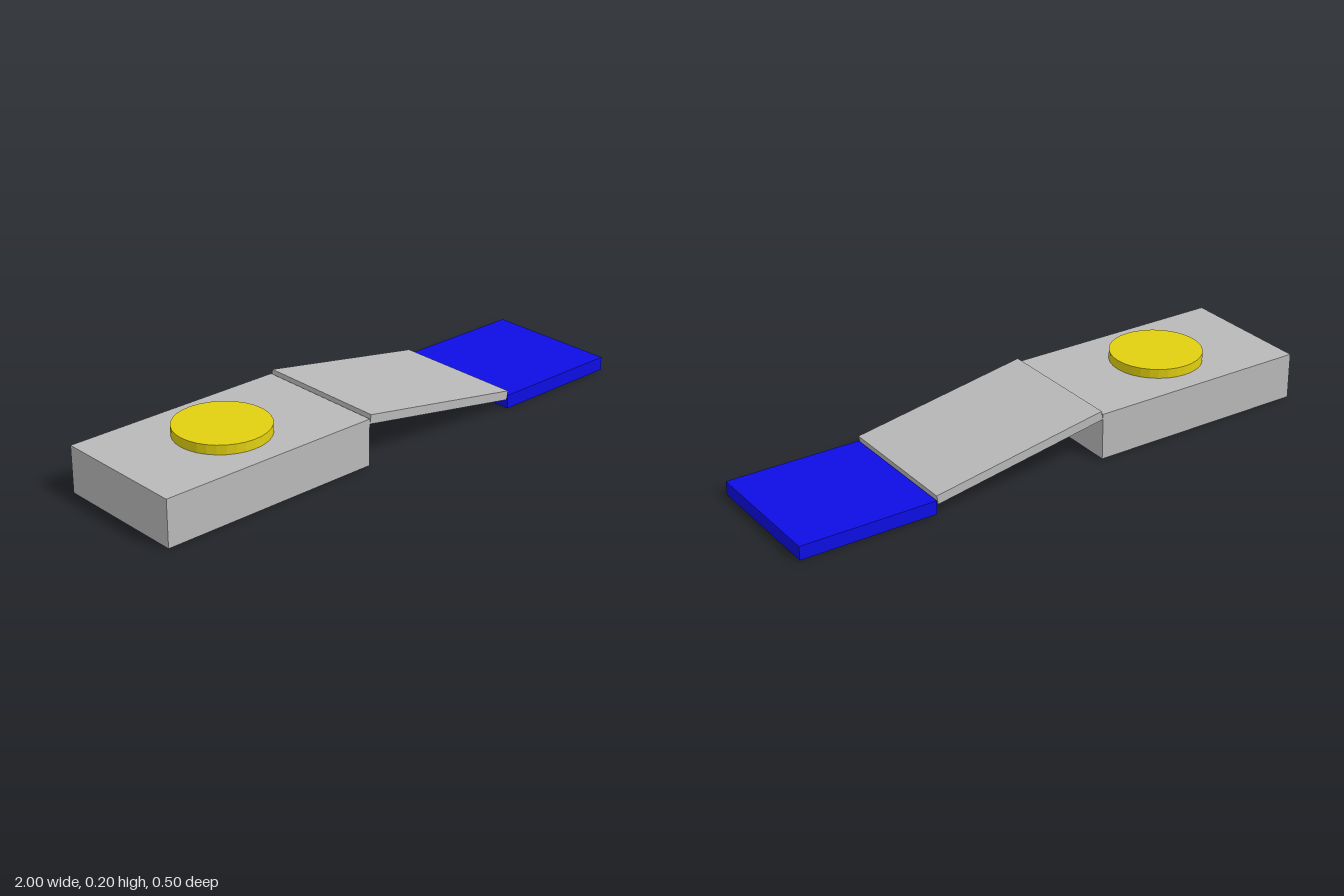
import * as THREE from 'three';

const material = (name, color, flatShading = false) => {
  const m = new THREE.MeshStandardMaterial({ color, flatShading });
  m.name = name;
  return m;
};

export function createModel() {
  const grey = material('grey', 0xb9b9b9);
  const blue = material('blue', 0x0d0de4);
  const yellow = material('yellow', 0xe2d010, true);

  const model = new THREE.Group();
  model.name = 'steppedRamp';
  const DEPTH = 0.5;

  const add = (name, geometry, mat, x, y) => {
    const mesh = new THREE.Mesh(geometry, mat);
    mesh.name = name;
    mesh.position.set(x, y, 0);
    model.add(mesh);
    return mesh;
  };

  // Raised platform with a round button on top
  add('platform', new THREE.BoxGeometry(0.835, 0.17, DEPTH), grey, -0.5825, 0.085);
  add('button', new THREE.CylinderGeometry(0.167, 0.167, 0.034, 32), yellow, -0.583, 0.187);

  // Thin plate sloping down ten degrees to the low pad
  const ramp = add('ramp', new THREE.BoxGeometry(0.667, 0.033, DEPTH), grey, 0.167, 0.1095);
  ramp.rotation.z = -THREE.MathUtils.degToRad(10);

  // Low pad at the foot of the ramp
  add('lowPad', new THREE.BoxGeometry(0.502, 0.05, DEPTH), blue, 0.749, 0.025);

  return model;
}
